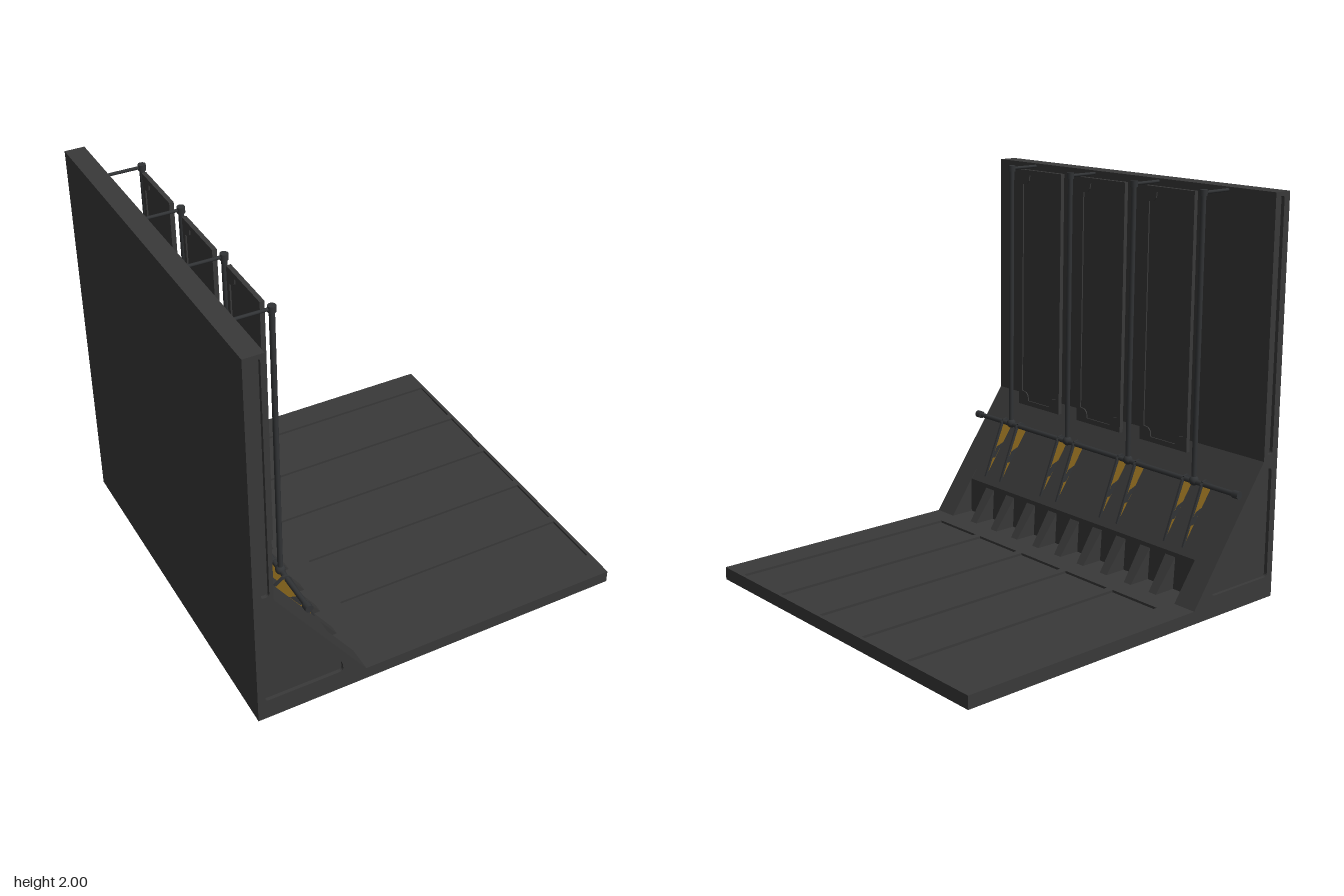
import * as THREE from 'three';

const mat = (name, color) => Object.assign(new THREE.MeshStandardMaterial({ color }), { name });

// Closed outline; corners are softened by r when r > 0
function outline(points, r = 0, Type = THREE.Shape) {
  const path = new Type();
  const v = points.map(p => new THREE.Vector2(p[0], p[1]));
  v.forEach((p, i) => {
    const toward = q => p.clone().add(q.clone().sub(p).setLength(r));
    const a = r ? toward(v[(i + v.length - 1) % v.length]) : p;
    const b = r ? toward(v[(i + 1) % v.length]) : p;
    if (i) path.lineTo(a.x, a.y); else path.moveTo(a.x, a.y);
    if (r) path.quadraticCurveTo(p.x, p.y, b.x, b.y);
  });
  path.closePath();
  return path;
}
const rect = (x0, y0, x1, y1) => [[x0, y0], [x1, y0], [x1, y1], [x0, y1]];

// Extrusion of a shape between two z values
function slab(shape, z0, z1) {
  const g = new THREE.ExtrudeGeometry(shape, { depth: z1 - z0, bevelEnabled: false, curveSegments: 4 });
  return g.translate(0, 0, z0);
}

export function createModel() {
  const stone = mat('charcoal', 0x393939);
  const metal = mat('dark metal', 0x313335);
  const gold = mat('gold', 0x87651c);
  const model = new THREE.Group();
  const add = (name, geometry, material, parent = model) => {
    const mesh = new THREE.Mesh(geometry, material);
    mesh.name = name;
    parent.add(mesh);
    return mesh;
  };
  const box = (x0, x1, y0, y1, z0, z1) =>
    new THREE.BoxGeometry(x1 - x0, y1 - y0, z1 - z0).translate((x0 + x1) / 2, (y0 + y1) / 2, (z0 + z1) / 2);

  const W = 0.968, inner = 0.95, floorTop = 0.065;

  // Back wall and sloped base with a long niche
  add('backWall', box(-W, -0.87, floorTop, 2, -inner, inner), stone);
  const nicheProfile = [[-0.87, floorTop], [-0.545, floorTop], [-0.545, 0.254], [-0.87, 0.71]];
  const slopeProfile = [[-0.87, floorTop], [-0.41, floorTop], [-0.87, 0.71]];
  add('slopeMiddle', slab(outline(nicheProfile), -0.84, 0.84), stone);
  add('slopeEnd', slab(outline(slopeProfile), 0.84, inner), stone);
  add('slopeEnd', slab(outline(slopeProfile), -inner, -0.84), stone);

  // Side faces with a sunken slot and a sunken triangle
  const side = outline([[-W, 0], [W, 0], [W, floorTop], [-0.41, floorTop], [-0.87, 0.71], [-0.87, 2], [-W, 2]]);
  side.holes.push(
    outline(rect(-0.93, 0.74, -0.89, 1.98), 0.015, THREE.Path),
    outline([[-0.93, 0.11], [-0.53, 0.11], [-0.535, 0.165], [-0.89, 0.67], [-0.93, 0.67]], 0.02, THREE.Path));
  add('sideFace', slab(side, inner, W), stone);
  add('sideFace', slab(side, -W, -inner), stone);

  // Floor slab with five sunken panels above and below
  add('floorCore', box(-W, W, 0.012, 0.053, -inner, inner), stone);
  const floorFrame = outline(rect(-W, -inner, W, inner));
  for (let i = 0; i < 5; i++) {
    const c = (i - 2) * 0.336;
    floorFrame.holes.push(outline(rect(-0.31, c - 0.148, 0.95, c + 0.148), 0, THREE.Path));
  }
  add('floorFrame', slab(floorFrame, 0.053, floorTop).rotateX(-Math.PI / 2), stone);
  add('floorUnderFrame', slab(floorFrame, 0, 0.012).rotateX(-Math.PI / 2), stone);

  // Tapered ribs in the niche
  for (let i = -4; i <= 4; i++) {
    const rib = slab(outline([[-0.55, floorTop], [-0.425, floorTop], [-0.545, 0.232], [-0.55, 0.232]]), -1, 1);
    const p = rib.attributes.position;
    for (let k = 0; k < p.count; k++) {
      const t = (p.getY(k) - floorTop) / 0.167;
      p.setZ(k, p.getZ(k) * (0.024 + 0.009 * t) + i * 0.17);
    }
    rib.computeVertexNormals();
    add('nicheRib', rib, stone);
  }

  // Standing panels, sunken on both faces, with notched corners
  const hw = 0.134, hh = 0.612, quarter = [[hw, hh - 0.05], [hw - 0.03, hh - 0.045], [hw - 0.045, hh - 0.03], [hw - 0.05, hh]];
  const flip = (sx, sy) => quarter.map(([a, b]) => [a * sx, b * sy]);
  const notched = [...quarter, ...flip(-1, 1).reverse(), ...flip(-1, -1), ...flip(1, -1).reverse()];
  const panelFrame = outline(rect(-0.16, -0.638, 0.16, 0.638));
  panelFrame.holes.push(outline(notched, 0, THREE.Path));
  for (const z of [-0.46, 0, 0.46]) {
    const panel = new THREE.Group();
    panel.name = 'standingPanel';
    panel.position.set(-0.713, 1.348, z);
    add('panelCore', box(-0.004, 0.004, -0.638, 0.638, -0.16, 0.16), stone, panel);
    add('panelFrontFrame', slab(panelFrame, 0.004, 0.011).rotateY(Math.PI / 2), stone, panel);
    add('panelBackFrame', slab(panelFrame, -0.011, -0.004).rotateY(Math.PI / 2), stone, panel);
    model.add(panel);
  }

  // Long horizontal pipe with end collars
  const railX = -0.7, railY = 0.577;
  const pipeZ = (r, z0, z1) => new THREE.CylinderGeometry(r, r, z1 - z0, 10)
    .rotateX(Math.PI / 2).translate(railX, railY, (z0 + z1) / 2);
  add('rail', pipeZ(0.013, -W, W), metal);
  add('railCollar', pipeZ(0.02, W - 0.035, W), metal);
  add('railCollar', pipeZ(0.02, -W, 0.035 - W), metal);

  // Upright poles with joints, wall brackets and paired blades
  const bladeShape = outline([[-0.765, 0.555], [-0.72, 0.59], [-0.695, 0.585], [-0.567, 0.285]]);
  const rimShape = outline([[-0.695, 0.592], [-0.68, 0.578], [-0.562, 0.285], [-0.572, 0.285], [-0.694, 0.57]]);
  const topRimShape = outline([[-0.768, 0.56], [-0.755, 0.555], [-0.715, 0.583], [-0.69, 0.58], [-0.69, 0.592], [-0.72, 0.597]]);
  const bandShape = outline([[-0.69, 0.46], [-0.648, 0.445], [-0.61, 0.385], [-0.635, 0.385]]);
  for (const z of [-0.677, -0.225, 0.228, 0.682]) {
    add('pole', new THREE.CylinderGeometry(0.013, 0.013, 1.41, 10).translate(railX, 1.285, z), metal);
    add('poleTop', new THREE.CylinderGeometry(0.019, 0.019, 0.03, 10).translate(railX, 1.985, z), metal);
    add('poleJoint', new THREE.SphereGeometry(0.025, 10, 8).translate(railX, 0.582, z), metal);
    add('wallBracket', new THREE.CylinderGeometry(0.008, 0.008, 0.18, 8)
      .rotateZ(Math.PI / 2).translate(-0.785, 1.985, z), metal);
    for (const s of [-1, 1]) {
      const c = z + s * 0.062;
      add('blade', slab(bladeShape, c - 0.003, c + 0.003), gold);
      add('bladeRim', slab(rimShape, c - 0.005, c + 0.005), metal);
      add('bladeTopRim', slab(topRimShape, c - 0.005, c + 0.005), metal);
      add('bladeBand', slab(bandShape, c - 0.0045, c + 0.0045), metal);
    }
  }
  return model;
}
